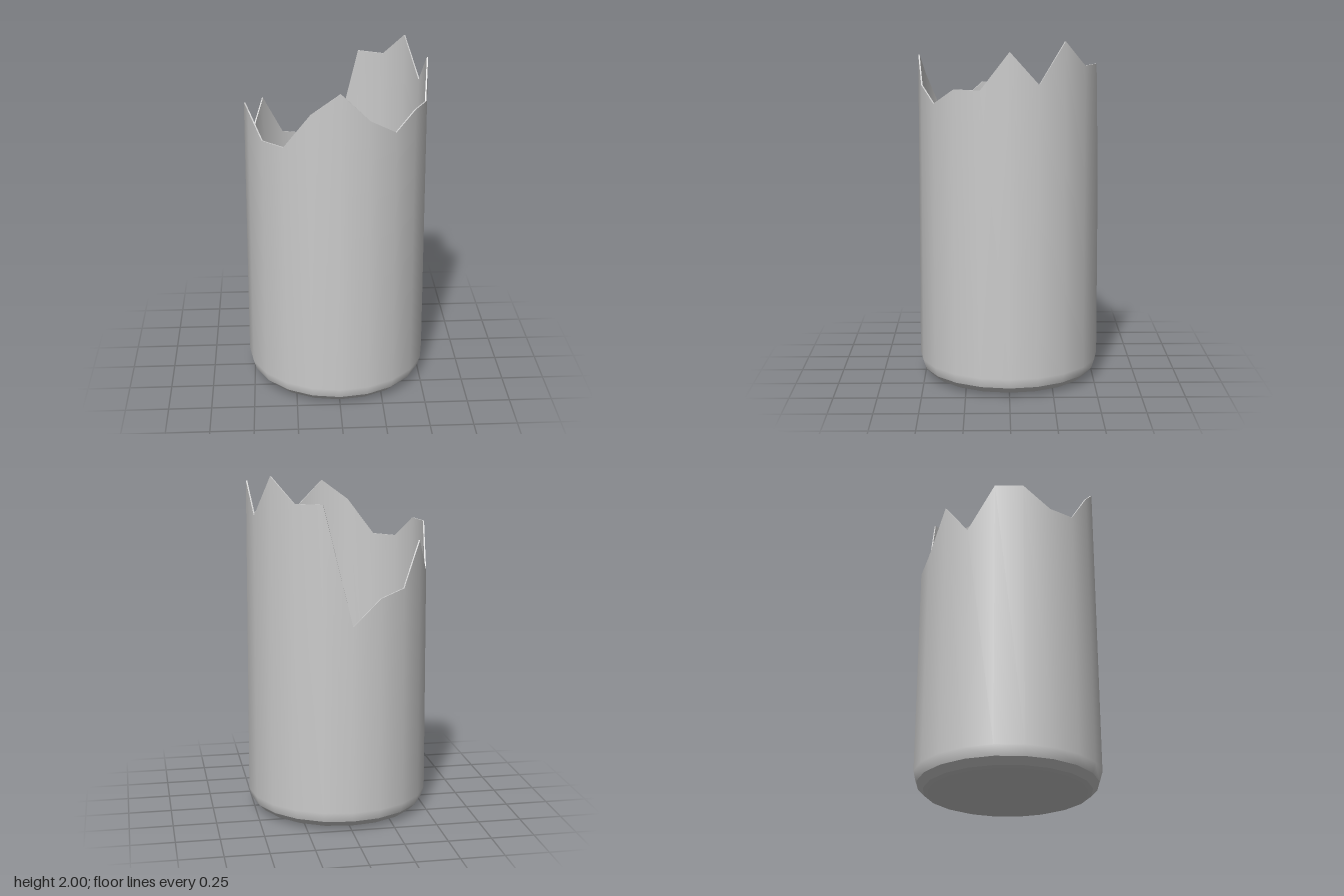
import * as THREE from 'three';

const SIDES = 20;
const THICKNESS = 0.008;

// Height of the broken edge at each side, from the front round towards +x
const RIM = [
  1.9, 1.74, 1.65, 1.74, 1.74, 1.95, 1.77, 2.0, 1.86, 1.86,
  1.19, 1.34, 1.38, 1.63, 1.43, 1.7, 1.7, 1.575, 1.575, 1.78,
];

// The wall narrows slightly towards the top
const wallRadius = (y) => 0.531 - 0.005 * y;

// Lathe a profile; insets maps a profile index to its wall inset,
// and those points are lifted to the broken edge
function turned(profile, insets = {}) {
  const points = profile.map(([r, y]) => new THREE.Vector2(r, y));
  const geometry = new THREE.LatheGeometry(points, SIDES);
  const pos = geometry.attributes.position;
  for (const [j, inset] of Object.entries(insets)) {
    for (let i = 0; i <= SIDES; i++) {
      const a = (i / SIDES) * Math.PI * 2;
      const y = RIM[i % SIDES];
      const r = wallRadius(y) - inset;
      pos.setXYZ(i * profile.length + Number(j), r * Math.sin(a), y, r * Math.cos(a));
    }
  }
  return geometry;
}

export function createModel() {
  const group = new THREE.Group();
  group.name = 'brokenJar';
  const material = new THREE.MeshStandardMaterial({ color: 0xcccccc });

  const add = (name, geometry) => {
    const mesh = new THREE.Mesh(geometry, material);
    mesh.name = name;
    group.add(mesh);
  };

  // Underside and the rounded lower edge
  add('base', turned([[0, 0], [0.415, 0], [0.476, 0.02]]));
  add('baseBevel', turned([[0.476, 0.02], [0.513, 0.058]]));

  // Outer wall up to the jagged edge
  add('outerWall', turned([[0.513, 0.058], [0.531, 0.115], [0.522, 1.7]], { 2: 0 }));

  // Thin broken edge joining both walls
  const edge = turned([[0.522, 1.7], [0.514, 1.7]], { 0: 0, 1: THICKNESS }).toNonIndexed();
  edge.computeVertexNormals();
  add('brokenEdge', edge);

  // Inner wall and floor
  add('innerWall', turned([[0.514, 1.7], [0.523, 0.118], [0.506, 0.064], [0.473, 0.03]], { 0: THICKNESS }));
  add('floor', turned([[0.473, 0.03], [0.413, 0.012], [0, 0.012]]));

  return group;
}
